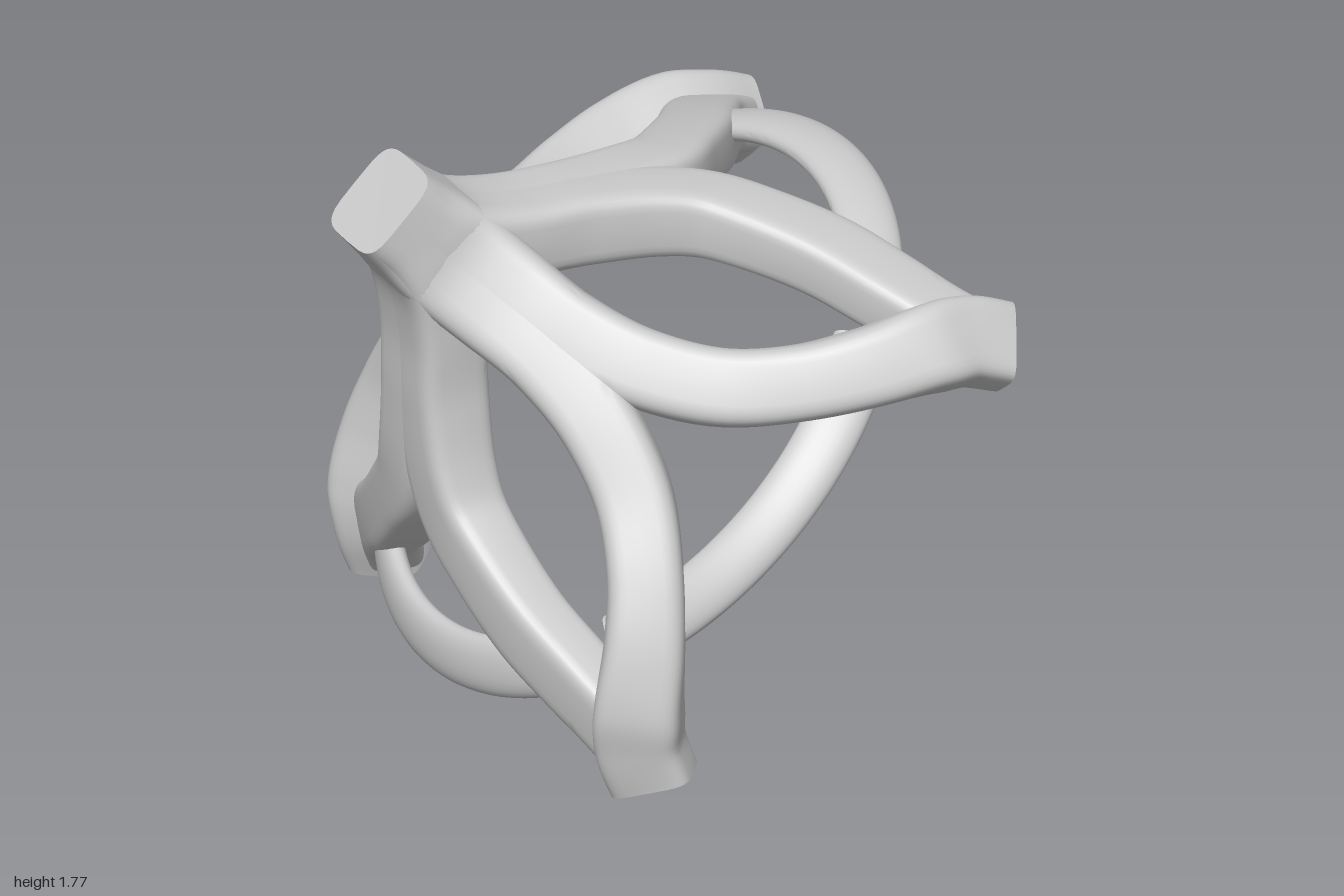
import * as THREE from 'three';
import { toCreasedNormals } from 'three/addons/utils/BufferGeometryUtils.js';

const V = (x, y, z) => new THREE.Vector3(x, y, z);

// Sweeps a rounded section along rows of { p: centre, n: thickness direction,
// s: [half width, half thickness, taper] }. Ends are closed; the last one may bulge.
function sweep(rows, steps, power, bulge = 0) {
  const sides = 32;
  const path = new THREE.CatmullRomCurve3(rows.map(r => V(...r.p)));
  const normals = new THREE.CatmullRomCurve3(rows.map(r => V(...r.n)));
  const sizes = new THREE.CatmullRomCurve3(rows.map(r => V(...r.s)));
  const pos = [], index = [];
  const rounded = v => Math.sign(v) * Math.pow(Math.abs(v), 2 / power);
  for (let i = 0; i <= steps; i++) {
    const t = i / steps;
    const c = path.getPoint(t), T = path.getTangent(t);
    const N = normals.getPoint(t).normalize();
    const W = N.clone().cross(T).normalize();
    const s = sizes.getPoint(t);
    for (let j = 0; j < sides; j++) {
      const a = (j / sides) * Math.PI * 2;
      const y = rounded(Math.sin(a)), x = rounded(Math.cos(a)) * (1 + s.z * y);
      const q = c.clone().addScaledVector(W, x * s.x).addScaledVector(N, y * s.y);
      pos.push(q.x, q.y, q.z);
    }
  }
  for (let i = 0; i < steps; i++) {
    for (let j = 0; j < sides; j++) {
      const k = (j + 1) % sides;
      const a = i * sides + j, b = i * sides + k, d = a + sides, e = b + sides;
      index.push(a, b, e, a, e, d);
    }
  }
  // end caps
  const start = path.getPoint(0);
  const end = path.getPoint(1).addScaledVector(path.getTangent(1), bulge);
  const c0 = pos.length / 3, c1 = c0 + 1, last = steps * sides;
  pos.push(...start.toArray(), ...end.toArray());
  for (let j = 0; j < sides; j++) {
    const k = (j + 1) % sides;
    index.push(c0, k, j, c1, last + j, last + k);
  }
  const geo = new THREE.BufferGeometry();
  geo.setAttribute('position', new THREE.Float32BufferAttribute(pos, 3));
  geo.setIndex(index);
  return toCreasedNormals(geo, 0.6);
}

// Stem below the square head, shared by all branches.
const stem = [
  { p: [0, 1.755, 0], n: [0, 0, 1], s: [0.152, 0.152, 0] },
  { p: [0.002, 1.63, 0.008], n: [0, 0.05, 1], s: [0.162, 0.147, 0] },
  { p: [0.01, 1.49, 0.06], n: [0, 0.3, 0.95], s: [0.168, 0.13, 0] },
  { p: [0.022, 1.34, 0.165], n: [0, 0.48, 0.88], s: [0.153, 0.12, 0] },
  { p: [0.045, 1.17, 0.325], n: [0, 0.57, 0.82], s: [0.128, 0.115, 0] },
];

// Long branch, running out to the foot and turning down at its end.
const footBranch = [
  ...stem,
  { p: [0.095, 1.005, 0.485], n: [0.05, 0.57, 0.82], s: [0.12, 0.115, 0] },
  { p: [0.2, 0.834, 0.635], n: [0.12, 0.5, 0.85], s: [0.117, 0.115, 0] },
  { p: [0.357, 0.706, 0.755], n: [0.2, 0.42, 0.88], s: [0.114, 0.115, 0] },
  { p: [0.522, 0.594, 0.825], n: [0.28, 0.38, 0.87], s: [0.12, 0.115, 0] },
  { p: [0.68, 0.48, 0.85], n: [0.38, 0.4, 0.82], s: [0.13, 0.115, 0] },
  { p: [0.758, 0.385, 0.842], n: [0.44, 0.44, 0.78], s: [0.126, 0.112, 0.04] },
  { p: [0.812, 0.268, 0.852], n: [0.48, 0.47, 0.74], s: [0.12, 0.11, 0.1] },
];

// Short branch, bowing out and flowing into the side of the long one.
const bridgeBranch = [
  ...stem,
  { p: [0.085, 1.01, 0.475], n: [0.03, 0.62, 0.78], s: [0.125, 0.11, 0] },
  { p: [0.145, 0.9, 0.565], n: [0.06, 0.66, 0.75], s: [0.122, 0.105, 0] },
  { p: [0.265, 0.795, 0.632], n: [0.1, 0.68, 0.73], s: [0.12, 0.1, 0] },
  { p: [0.43, 0.665, 0.695], n: [0.16, 0.66, 0.73], s: [0.12, 0.095, 0] },
  { p: [0.6, 0.545, 0.727], n: [0.25, 0.6, 0.75], s: [0.118, 0.092, 0] },
  { p: [0.725, 0.44, 0.75], n: [0.38, 0.52, 0.76], s: [0.11, 0.09, 0] },
  { p: [0.8, 0.32, 0.785], n: [0.5, 0.48, 0.72], s: [0.095, 0.085, 0] },
];

function branchGeometry(rows, side, bulge) {
  const mirrored = rows.map(({ p, n, s }) => ({
    p: [p[0] * side, p[1], p[2]], n: [n[0] * side, n[1], n[2]], s,
  }));
  return sweep(mirrored, 72, 4.5, bulge);
}

// Ring segment with a slanted oval section.
function arcGeometry() {
  const rows = [];
  for (let i = -5; i <= 5; i++) {
    const a = THREE.MathUtils.degToRad(i * 7.8);
    const x = Math.sin(a), z = Math.cos(a);
    rows.push({ p: [0.917 * x, 0.585, 0.917 * z], n: [x, -1, z], s: [0.042, 0.092, 0] });
  }
  return sweep(rows, 48, 2.2);
}

export function createModel() {
  const model = new THREE.Group();
  model.name = 'branchingStand';
  const material = new THREE.MeshStandardMaterial({ color: 0xcccccc });
  const body = new THREE.Group();
  body.name = 'tiltedBody';
  body.position.set(0.45, 0.455, 0);
  body.rotation.z = Math.PI / 4;
  model.add(body);

  // four arms around the head's axis, alternating long and short branches
  const arc = arcGeometry();
  for (let i = 0; i < 4; i++) {
    const arm = new THREE.Group();
    arm.name = 'arm' + (i + 1);
    arm.rotation.y = (i * Math.PI) / 2;
    const [rows, bulge] = i % 2 ? [bridgeBranch, 0] : [footBranch, 0.035];
    const parts = [
      ['leftBranch', branchGeometry(rows, 1, bulge)],
      ['rightBranch', branchGeometry(rows, -1, bulge)],
      ['ringArc', arc],
    ];
    for (const [name, geo] of parts) {
      const mesh = new THREE.Mesh(geo, material);
      mesh.name = name;
      arm.add(mesh);
    }
    body.add(arm);
  }
  return model;
}
